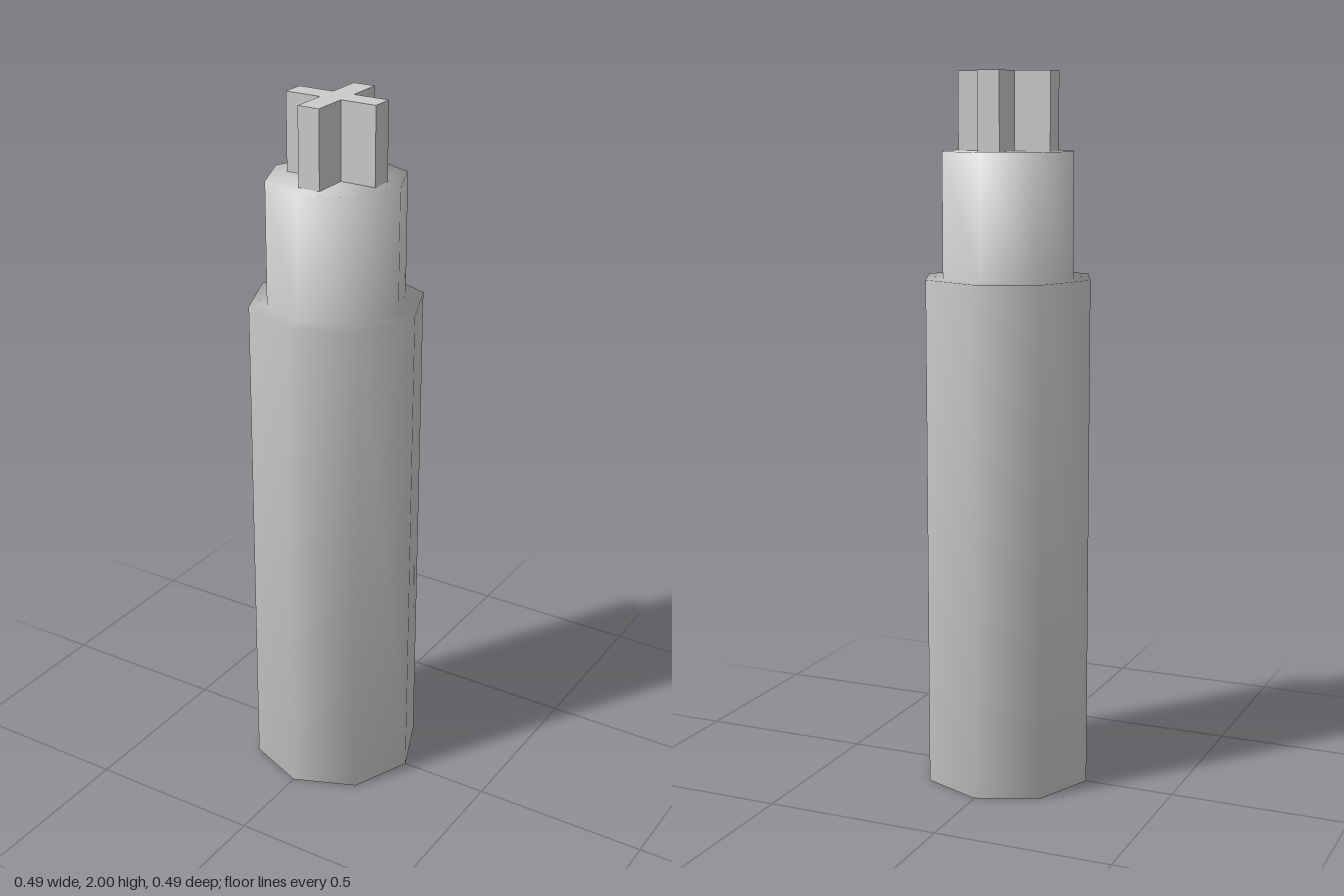
import * as THREE from 'three';

export function createModel() {
  const group = new THREE.Group();
  const material = new THREE.MeshStandardMaterial({ color: 0xcccccc });

  // Eight-sided stepped handle with softly shaded edges
  const profile = [[0, 0], [0.243, 0], [0.243, 1.44], [0.193, 1.44], [0.193, 1.785], [0, 1.785]]
    .map(([r, y]) => new THREE.Vector2(r, y));
  const handle = new THREE.Mesh(new THREE.LatheGeometry(profile, 8), material);
  handle.name = 'steppedHandle';
  group.add(handle);

  // Cross-shaped tip: one arm outline repeated by quarter turns
  const reach = 0.136, half = 0.032;
  const outline = [];
  for (let i = 0; i < 4; i++) {
    for (const [x, y] of [[half, -half], [reach, -half], [reach, half]]) {
      outline.push(new THREE.Vector2(x, y).rotateAround(new THREE.Vector2(), i * Math.PI / 2));
    }
  }
  const tipGeometry = new THREE.ExtrudeGeometry(new THREE.Shape(outline), { depth: 0.215, bevelEnabled: false });
  tipGeometry.rotateX(-Math.PI / 2);
  const tip = new THREE.Mesh(tipGeometry, material);
  tip.name = 'crossTip';
  tip.position.y = 1.785;
  group.add(tip);

  return group;
}
